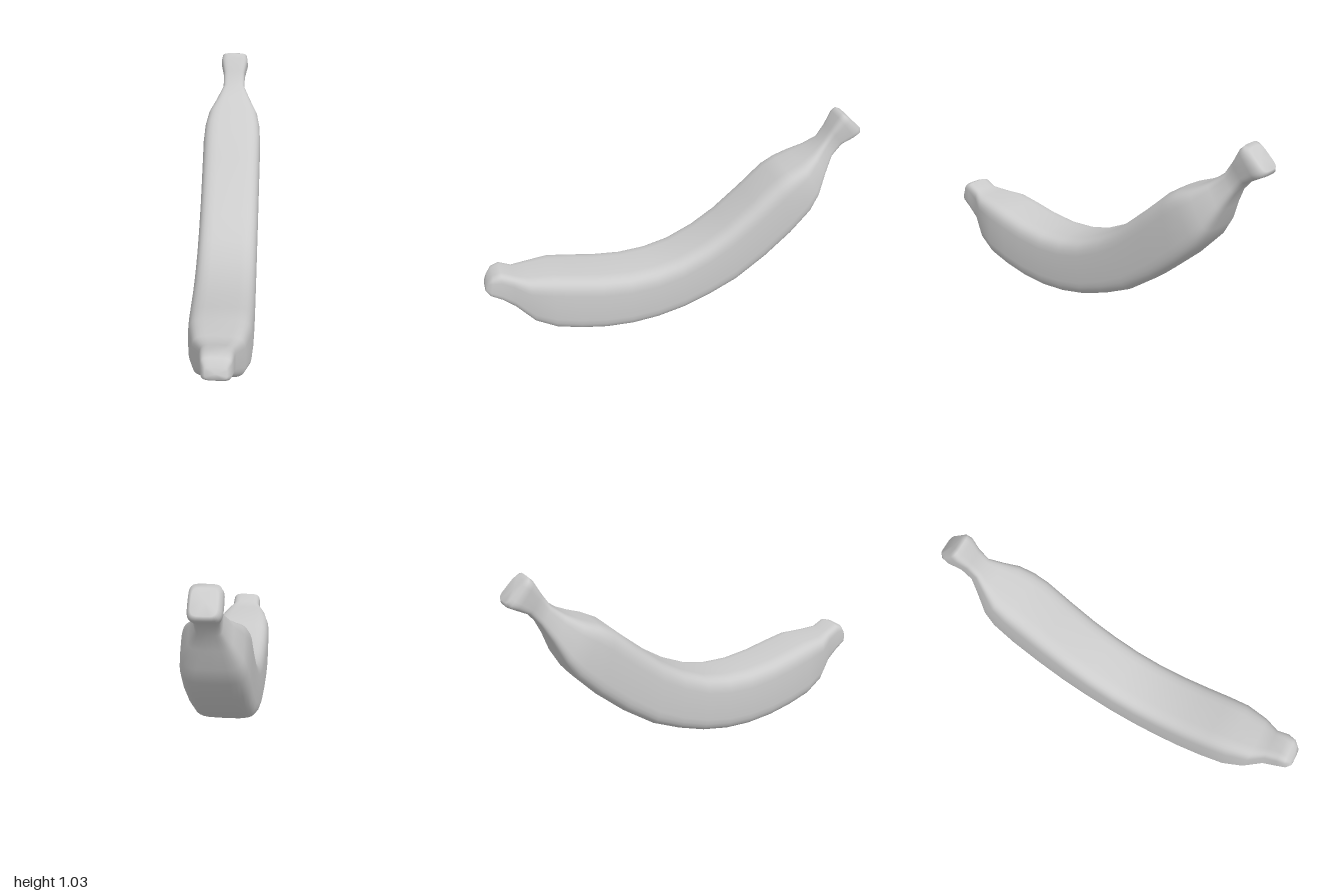
import * as THREE from 'three';

// Cross-sections from the blossom end to the stem:
// [top z, top y, bottom z, bottom y, half width]
const SECTIONS = [
  [0.975, 0.39, 0.995, 0.335, 0.05],
  [0.95, 0.422, 0.975, 0.308, 0.07],
  [0.91, 0.435, 0.92, 0.275, 0.08],
  [0.85, 0.405, 0.86, 0.22, 0.083],
  [0.78, 0.392, 0.77, 0.125, 0.125],
  [0.66, 0.39, 0.67, 0.075, 0.152],
  [0.55, 0.368, 0.54, 0.038, 0.158],
  [0.42, 0.34, 0.41, 0.013, 0.16],
  [0.27, 0.323, 0.27, 0.003, 0.16],
  [0.13, 0.33, 0.13, 0.013, 0.16],
  [0, 0.36, -0.02, 0.045, 0.16],
  [-0.14, 0.425, -0.16, 0.095, 0.16],
  [-0.26, 0.505, -0.31, 0.165, 0.16],
  [-0.4, 0.625, -0.47, 0.28, 0.16],
  [-0.52, 0.735, -0.61, 0.405, 0.16],
  [-0.585, 0.77, -0.72, 0.525, 0.154],
  [-0.66, 0.8, -0.767, 0.61, 0.138],
  [-0.73, 0.837, -0.808, 0.715, 0.097],
  [-0.79, 0.885, -0.85, 0.8, 0.06],
  [-0.83, 0.95, -0.9, 0.86, 0.06],
  [-0.865, 1.015, -0.96, 0.893, 0.075],
  [-0.885, 1.035, -0.995, 0.912, 0.07],
  [-0.91, 1.025, -1, 0.935, 0.055],
];
const SIDES = 32;

// Rounded-square outline: a superellipse coordinate
const squarish = (v) => Math.sign(v) * Math.pow(Math.abs(v), 0.45);

function loftGeometry(sections) {
  const positions = [];
  const index = [];
  for (const [tz, ty, bz, by, w] of sections) {
    for (let i = 0; i < SIDES; i++) {
      const a = (i / SIDES) * Math.PI * 2;
      const t = (squarish(Math.sin(a)) + 1) / 2;
      positions.push(w * squarish(Math.cos(a)), by + (ty - by) * t, bz + (tz - bz) * t);
    }
  }
  // Skin between neighbouring rings
  for (let s = 0; s < sections.length - 1; s++) {
    for (let i = 0; i < SIDES; i++) {
      const a = s * SIDES + i;
      const b = s * SIDES + ((i + 1) % SIDES);
      index.push(a, a + SIDES, b, b, a + SIDES, b + SIDES);
    }
  }
  // Closed ends
  const cap = (ring, flip, push) => {
    const [tz, ty, bz, by] = sections[ring];
    const centre = positions.length / 3;
    positions.push(0, (ty + by) / 2, (tz + bz) / 2 + push);
    for (let i = 0; i < SIDES; i++) {
      const a = ring * SIDES + i;
      const b = ring * SIDES + ((i + 1) % SIDES);
      index.push(centre, flip ? b : a, flip ? a : b);
    }
  };
  cap(0, false, 0.005);
  cap(sections.length - 1, true, 0.01);

  const geometry = new THREE.BufferGeometry();
  geometry.setAttribute('position', new THREE.Float32BufferAttribute(positions, 3));
  geometry.setIndex(index);
  geometry.computeVertexNormals();
  return geometry;
}

export function createModel() {
  const group = new THREE.Group();
  group.name = 'banana';
  const peel = new THREE.Mesh(
    loftGeometry(SECTIONS),
    new THREE.MeshStandardMaterial({ color: 0xcccccc })
  );
  peel.name = 'peel';
  group.add(peel);
  return group;
}
